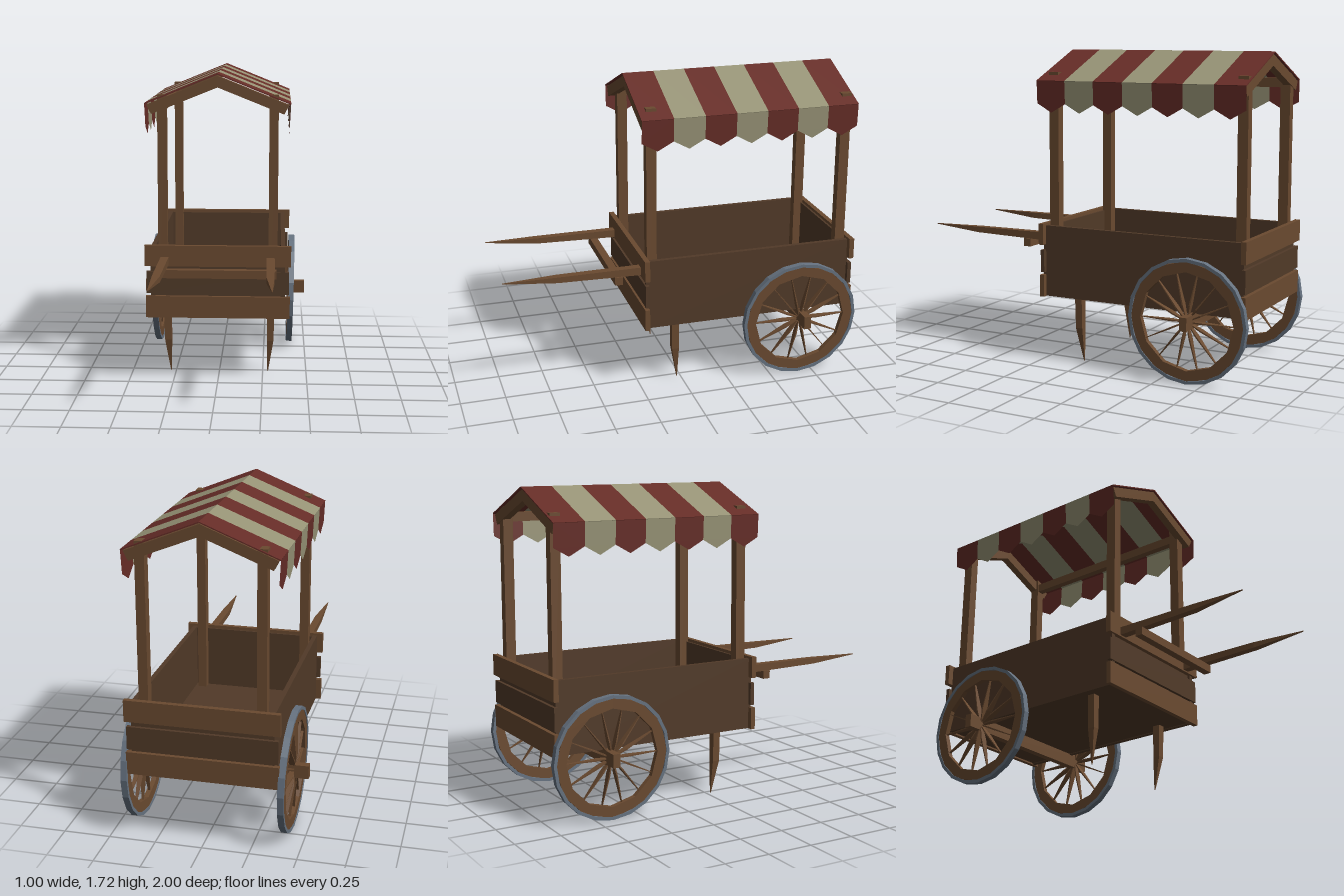
import * as THREE from 'three';

const material = (color) => new THREE.MeshStandardMaterial({ color, flatShading: true, side: THREE.DoubleSide });
const wood = material(0x6a4a30);
const darkWood = material(0x513a28);
const red = material(0x662d27);
const cream = material(0x979376);
const metal = material(0x667280);

// Box from its lower and upper corners
function box(name, mat, [x0, y0, z0], [x1, y1, z1]) {
  const mesh = new THREE.Mesh(new THREE.BoxGeometry(x1 - x0, y1 - y0, z1 - z0), mat);
  mesh.position.set((x0 + x1) / 2, (y0 + y1) / 2, (z0 + z1) / 2);
  mesh.name = name;
  return mesh;
}

// Tapered bar along z; each station is [z, centreX, centreY, width, height]
function taperedBar(stations) {
  const n = stations.length - 1;
  const geo = new THREE.BoxGeometry(1, 1, 1, 1, 1, n);
  const p = geo.attributes.position;
  for (let i = 0; i < p.count; i++) {
    const [z, cx, cy, w, h] = stations[Math.round((p.getZ(i) + 0.5) * n)];
    p.setXYZ(i, cx + p.getX(i) * w, cy + p.getY(i) * h, z);
  }
  geo.computeVertexNormals();
  return geo;
}

// Ring of rectangular section whose axis is x
function ring(name, mat, inner, outer, width, sides) {
  const h = width / 2;
  const profile = [[inner, -h], [outer, -h], [outer, h], [inner, h], [inner, -h]];
  const geo = new THREE.LatheGeometry(profile.map(([r, y]) => new THREE.Vector2(r, y)), sides);
  geo.rotateZ(Math.PI / 2);
  const mesh = new THREE.Mesh(geo, mat);
  mesh.name = name;
  return mesh;
}

function createWheel() {
  const wheel = new THREE.Group();
  wheel.name = 'wheel';
  wheel.add(ring('tyre', metal, 0.318, 0.336, 0.034, 20));
  wheel.add(ring('rim', wood, 0.265, 0.324, 0.028, 12));
  // Thin blade spokes, broad near the axle and pointed at the rim
  const spokeGeo = taperedBar([[0.02, 0, 0, 0.02, 0.006], [0.09, 0, 0, 0.036, 0.008], [0.285, 0, 0, 0.008, 0.003]]);
  const count = 14;
  for (let i = 0; i < count; i++) {
    const spoke = new THREE.Mesh(spokeGeo, wood);
    spoke.rotation.x = (i / count) * Math.PI * 2;
    spoke.name = 'spoke';
    wheel.add(spoke);
  }
  return wheel;
}

function createBody() {
  const body = new THREE.Group();
  body.name = 'body';
  body.add(box('floor', darkWood, [-0.36, 0.385, -0.95], [0.36, 0.415, 0.21]));
  for (const s of [-1, 1]) {
    const wall = box('sideWall', darkWood, [-0.0125, 0.38, -0.96], [0.0125, 0.775, 0.225]);
    wall.position.x = s * 0.36;
    body.add(wall);
  }
  // Three overhanging planks over a panel at each end
  for (const [z, s] of [[0.21, 1], [-0.955, -1]]) {
    const slab = (name, mat, hw, y0, y1, a, b) =>
      body.add(box(name, mat, [-hw, y0, Math.min(z + s * a, z + s * b)], [hw, y1, Math.max(z + s * a, z + s * b)]));
    slab('endPanel', darkWood, 0.355, 0.4, 0.77, -0.012, 0.004);
    slab('topPlank', wood, 0.405, 0.67, 0.787, 0, 0.028);
    slab('middlePlank', darkWood, 0.395, 0.515, 0.64, 0, 0.022);
    slab('bottomPlank', wood, 0.4, 0.378, 0.5, 0, 0.026);
  }
  return body;
}

function createCanopy() {
  const canopy = new THREE.Group();
  canopy.name = 'canopy';
  const ridge = 1.728, eave = 1.568, half = 0.396, z0 = -0.965, stripes = 7;
  const step = 1.213 / stripes;
  const slope = Math.atan2(ridge - eave, half);
  const panelGeo = new THREE.BoxGeometry(Math.hypot(half, ridge - eave), 0.006, step);
  // Pointed flap hanging from the eave
  const flap = new THREE.Shape([[-0.5, 0], [0.5, 0], [0.5, -0.122], [0, -0.17], [-0.5, -0.122]]
    .map(([u, v]) => new THREE.Vector2(u * step, v)));
  const flapGeo = new THREE.ShapeGeometry(flap);
  flapGeo.rotateY(Math.PI / 2);
  for (let i = 0; i < stripes; i++) {
    const mat = i % 2 ? cream : red;
    const z = z0 + step * (i + 0.5);
    for (const s of [-1, 1]) {
      const panel = new THREE.Mesh(panelGeo, mat);
      panel.position.set(s * half / 2, (ridge + eave) / 2, z);
      panel.rotation.z = -s * slope;
      panel.name = 'roofStripe';
      const valance = new THREE.Mesh(flapGeo, mat);
      valance.position.set(s * half, eave, z);
      valance.rotation.z = -s * 0.05;
      valance.name = 'valanceFlap';
      canopy.add(panel, valance);
    }
  }
  return canopy;
}

function createFrame() {
  const frame = new THREE.Group();
  frame.name = 'canopyFrame';
  // Gable rafters
  const gable = new THREE.Shape([[0, 1.718], [-0.386, 1.562], [-0.36, 1.512], [0, 1.656], [0.36, 1.512], [0.386, 1.562]]
    .map(([x, y]) => new THREE.Vector2(x, y)));
  const gableGeo = new THREE.ExtrudeGeometry(gable, { depth: 0.045, bevelEnabled: false });
  for (const z of [0.195, -0.957]) {
    const rafter = new THREE.Mesh(gableGeo, wood);
    rafter.position.z = z;
    rafter.name = 'rafter';
    frame.add(rafter);
  }
  // Posts and the beams joining them along the eaves
  for (const s of [-1, 1]) {
    for (const z of [0.18, -0.925]) {
      const post = box('post', wood, [-0.025, 0.4, -0.028], [0.025, 1.614, 0.028]);
      post.position.x = s * 0.305;
      post.position.z = z;
      frame.add(post);
    }
    const beam = box('eaveBeam', wood, [-0.02, 1.53, -0.91], [0.02, 1.58, 0.19]);
    beam.position.x = s * 0.305;
    frame.add(beam);
  }
  return frame;
}

export function createModel() {
  const cart = new THREE.Group();
  cart.name = 'marketCart';
  cart.add(createBody(), createFrame(), createCanopy());

  // Axle and wheels
  cart.add(box('axle', wood, [-0.5, 0.312, -0.7], [0.5, 0.385, -0.66]));
  for (const s of [-1, 1]) {
    const wheel = createWheel();
    wheel.position.set(s * 0.411, 0.344, -0.664);
    wheel.rotation.z = -s * 0.02;
    cart.add(wheel);

    // Pointed pull handle
    const handle = new THREE.Mesh(taperedBar([
      [0.2, s * 0.293, 0.7, 0.045, 0.045],
      [0.7, s * 0.295, 0.704, 0.042, 0.032],
      [0.995, s * 0.305, 0.715, 0.004, 0.004]]), wood);
    handle.name = 'handle';
    cart.add(handle);

    // Pointed prop leg, built along z then stood upright
    const legGeo = taperedBar([
      [0.01, s * 0.279, -0.022, 0.004, 0.004],
      [0.2, s * 0.292, -0.038, 0.038, 0.04],
      [0.4, s * 0.295, -0.04, 0.042, 0.042]]);
    legGeo.rotateX(-Math.PI / 2);
    const leg = new THREE.Mesh(legGeo, wood);
    leg.name = 'leg';
    cart.add(leg);
  }

  // Bar joining the handles
  cart.add(box('crossbar', wood, [-0.325, 0.637, 0.342], [0.325, 0.682, 0.385]));
  return cart;
}
